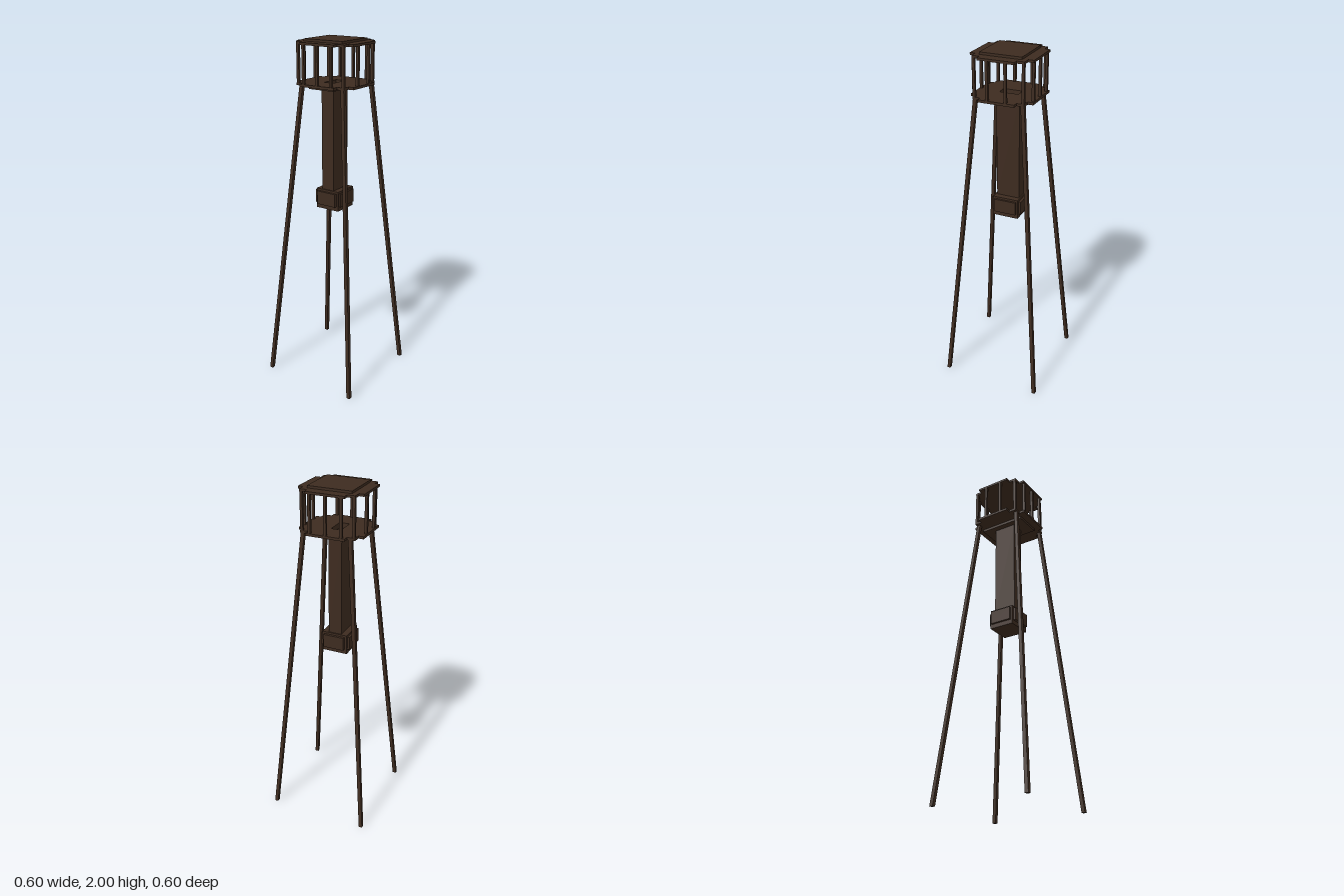
import * as THREE from 'three';

const CX = -0.008; // the cabin and shaft sit slightly off the leg centre

export function createModel() {
  const model = new THREE.Group();
  const wood = new THREE.MeshStandardMaterial({ color: 0x3d2b1f });
  wood.name = 'dark brown wood';

  const add = (name, geometry, x = 0, y = 0, z = 0) => {
    const mesh = new THREE.Mesh(geometry, wood);
    mesh.name = name;
    mesh.position.set(x, y, z);
    model.add(mesh);
    return mesh;
  };
  const box = (name, x0, x1, y0, y1, z0, z1) =>
    add(name, new THREE.BoxGeometry(x1 - x0, y1 - y0, z1 - z0),
      (x0 + x1) / 2, (y0 + y1) / 2, (z0 + z1) / 2);

  // Horizontal slab from an outline, with an optional rectangular hole
  const slab = (name, points, y0, y1, hole) => {
    const shape = new THREE.Shape(points.map(([x, z]) => new THREE.Vector2(x, z)));
    if (hole) {
      const [x0, x1, z0, z1] = hole;
      shape.holes.push(new THREE.Path([[x0, z0], [x0, z1], [x1, z1], [x1, z0]]
        .map(([x, z]) => new THREE.Vector2(x, z))));
    }
    const g = new THREE.ExtrudeGeometry(shape, { depth: y1 - y0, bevelEnabled: false });
    g.rotateX(-Math.PI / 2);
    add(name, g, 0, y0, 0);
  };

  // Stepped square outline shared by roof and floor
  const quarter = [[0.187, 0.104], [0.157, 0.104], [0.157, 0.148], [0.112, 0.148], [0.112, 0.18]];
  const flip = (sx, sz) => quarter.map(([x, z]) => [CX + sx * x, sz * z]);
  const outline = [...flip(1, 1), ...flip(-1, 1).reverse(), ...flip(-1, -1), ...flip(1, -1).reverse()];
  const hatch = [-0.045, 0.013, -0.055, 0.055];

  slab('roof', outline, 1.974, 1.987);
  box('roofCap', -0.135, 0.118, 1.987, 2.0, -0.12, 0.12);
  slab('floor', outline, 1.752, 1.766, hatch);
  slab('floorSupport', [[-0.09, -0.138], [0.073, -0.138], [0.073, 0.138], [-0.09, 0.138]], 1.737, 1.752, hatch);

  // Posts around the cabin
  const posts = [];
  for (const s of [-1, 1]) {
    for (const x of [-0.09, 0, 0.09]) posts.push([x, s * 0.171]);
    for (const z of [-0.052, 0.052]) posts.push([s * 0.179, z]);
    for (const t of [-1, 1]) posts.push([s * 0.149, t * 0.14]);
  }
  for (const [x, z] of posts) {
    const h = 0.0075;
    box('post', CX + x - h, CX + x + h, 1.766, 1.974, z - h, z + h);
  }

  // Hanging shaft and the stepped block at its foot
  box('shaft', -0.055, 0.024, 1.15, 1.737, -0.068, 0.068);
  box('footBlock', -0.09, 0.06, 1.04, 1.156, -0.075, 0.075);
  box('footBlockSides', -0.103, 0.072, 1.066, 1.144, -0.065, 0.065);
  box('footBlockFrontBack', -0.076, 0.048, 1.066, 1.144, -0.09, 0.09);

  // Splayed square legs, sheared outward towards the ground
  const top = 1.752;
  for (const sx of [-1, 1]) for (const sz of [-1, 1]) {
    const g = new THREE.BoxGeometry(0.021, top, 0.021);
    g.translate(0, top / 2, 0);
    const p = g.attributes.position;
    for (let i = 0; i < p.count; i++) {
      const d = 0.2895 - 0.153 * p.getY(i) / top;
      p.setX(i, p.getX(i) + sx * d);
      p.setZ(i, p.getZ(i) + sz * d);
    }
    g.computeVertexNormals();
    add('leg', g);
  }
  return model;
}
